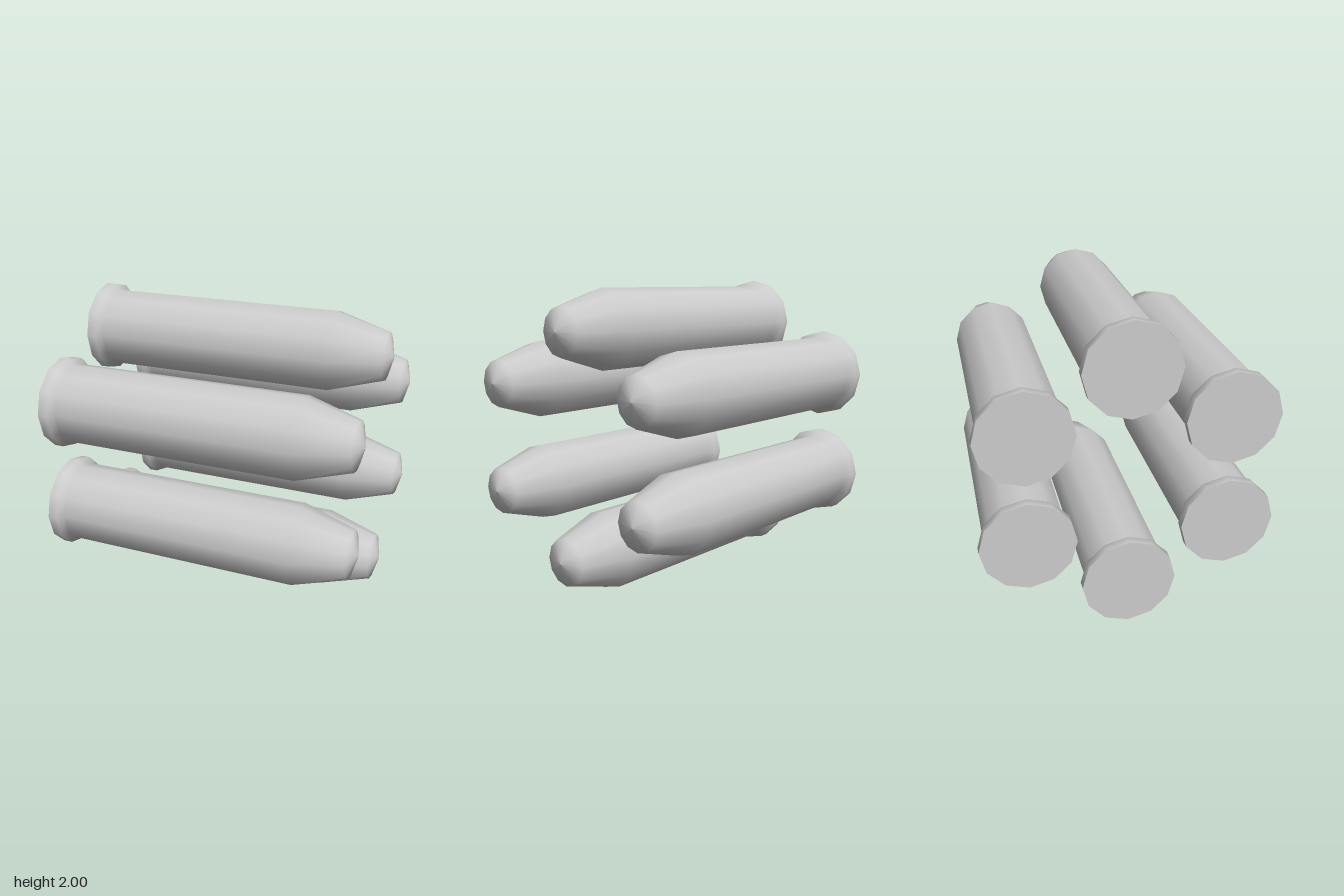
import * as THREE from 'three';

const SIDES = 12;
const RIM = 0.293;
const RING = 0.707;

// [position along the axis, radius], from the rimmed base to the nose
const PROFILE = [
  [-1, RIM], [-0.94, RIM], [-0.9, 0.255],
  [0.62, 0.255], [0.957, 0.153], [1, 0],
];

export function createModel() {
  const group = new THREE.Group();
  group.name = 'cartridgeRing';
  const material = new THREE.MeshStandardMaterial({ color: 0xcccccc });

  // Smooth turned body, laid along +x
  const bodyGeometry = new THREE.LatheGeometry(
    PROFILE.map(([x, r]) => new THREE.Vector2(r, x)), SIDES);
  bodyGeometry.rotateZ(-Math.PI / 2);

  // Flat base facing -x
  const baseGeometry = new THREE.CircleGeometry(RIM, SIDES);
  baseGeometry.rotateY(-Math.PI / 2);
  baseGeometry.translate(-1, 0, 0);

  // Six cartridges evenly spaced on a circle about the x axis
  for (let i = 0; i < 6; i++) {
    const angle = (i * Math.PI) / 3;
    const cartridge = new THREE.Group();
    cartridge.name = `cartridge${i + 1}`;
    const body = new THREE.Mesh(bodyGeometry, material);
    body.name = 'body';
    const base = new THREE.Mesh(baseGeometry, material);
    base.name = 'base';
    cartridge.add(body, base);
    cartridge.position.set(0, 1 + RING * Math.cos(angle), RING * Math.sin(angle));
    group.add(cartridge);
  }
  return group;
}
